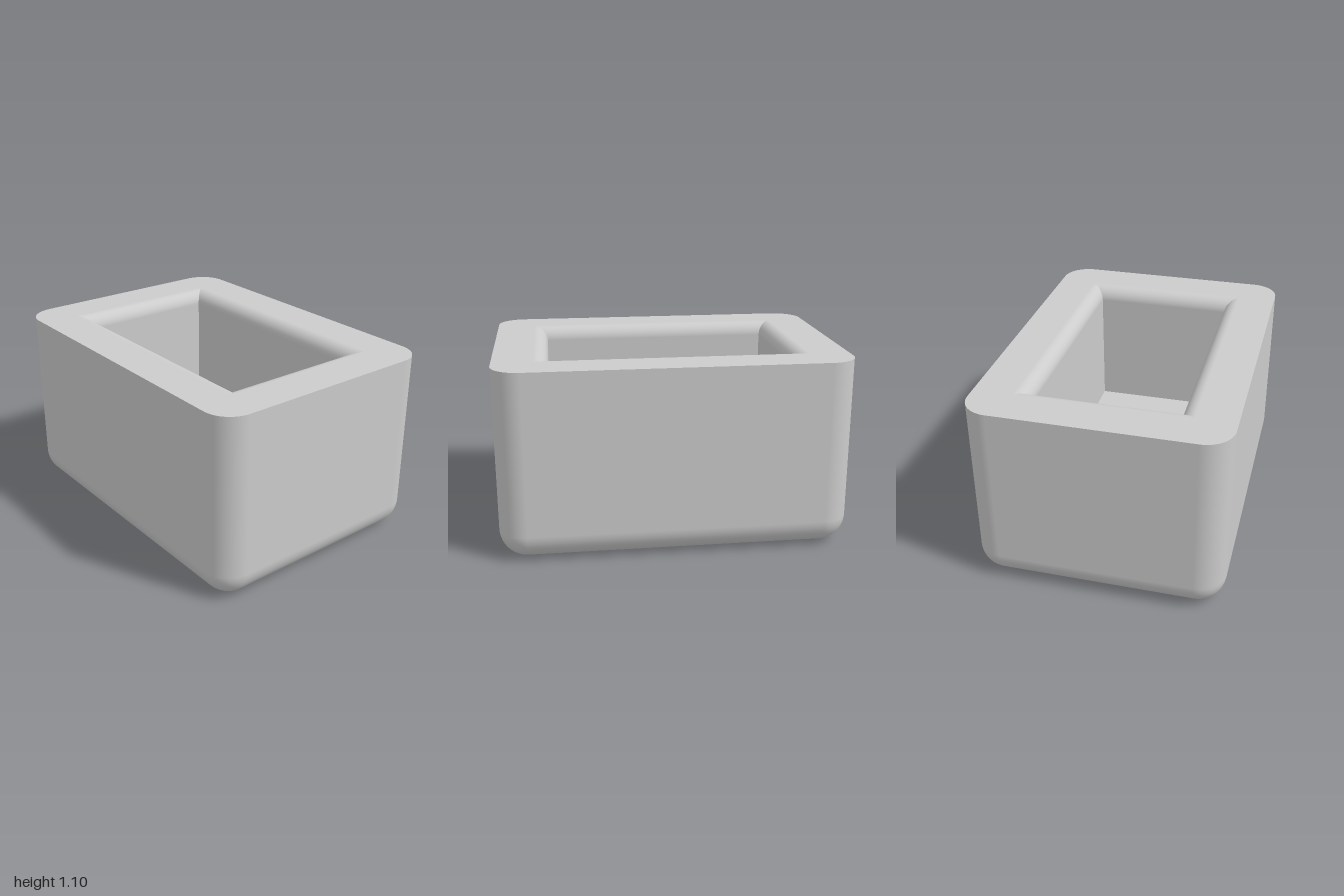
import * as THREE from 'three';

const W = 1, D = 0.717, H = 1.095;   // half width, half depth, height
const R = 0.16;                      // outer corner radius
const PW = 0.69, PD = 0.41;          // pocket half width, half depth
const FLOOR = 0.31, F = 0.08;        // pocket floor height, rim fillet radius
const SEG = 12;

// Smooth surface from a grid of points with known normals
function grid(rows, cols, at) {
  const pos = [], nor = [], idx = [];
  for (let i = 0; i < rows; i++) {
    for (let j = 0; j < cols; j++) {
      const { p, n } = at(i, j);
      pos.push(...p);
      nor.push(...n);
      if (i < rows - 1 && j < cols - 1) {
        const a = i * cols + j, b = a + cols;
        idx.push(a, b, a + 1, b, b + 1, a + 1);
      }
    }
  }
  const g = new THREE.BufferGeometry();
  g.setAttribute('position', new THREE.Float32BufferAttribute(pos, 3));
  g.setAttribute('normal', new THREE.Float32BufferAttribute(nor, 3));
  g.setIndex(idx);
  return g;
}

// Outer wall: rounded vertical corners, running into a rounded bottom edge
function outerWall() {
  const perCorner = SEG + 1, cols = 4 * perCorner + 1;
  return grid(SEG + 2, cols, (i, j) => {
    const a = -Math.PI / 2 * (1 - Math.min(i, SEG) / SEG);
    const k = Math.floor(j / perCorner) % 4;
    const t = (k + (j % perCorner) / SEG) * Math.PI / 2;
    const cx = (k === 0 || k === 3 ? 1 : -1) * (W - R);
    const cz = (k < 2 ? 1 : -1) * (D - R);
    const n = [Math.cos(a) * Math.cos(t), Math.sin(a), Math.cos(a) * Math.sin(t)];
    const y = i > SEG ? H : R + R * n[1];
    return { p: [cx + R * n[0], y, cz + R * n[2]], n };
  });
}

// One pocket wall with a filleted rim, mitred at both ends
function pocketWall(k) {
  const o = [Math.round(Math.cos(k * Math.PI / 2)), Math.round(Math.sin(k * Math.PI / 2))];
  const reach = k % 2 ? PD : PW, half = k % 2 ? PW : PD;
  return grid(SEG + 2, 2, (i, j) => {
    const a = Math.max(i - 1, 0) / SEG * Math.PI / 2;
    const d = F - F * Math.cos(a);
    const y = i === 0 ? FLOOR : H - F + F * Math.sin(a);
    const out = reach + d, side = (j ? -1 : 1) * (half + d);
    return {
      p: [o[0] * out - o[1] * side, y, o[1] * out + o[0] * side],
      n: [-o[0] * Math.cos(a), Math.sin(a), -o[1] * Math.cos(a)],
    };
  });
}

// Flat top rim: rounded rectangle with a rectangular hole
function topRim() {
  const s = new THREE.Shape();
  s.absarc(W - R, D - R, R, 0, Math.PI / 2);
  s.absarc(R - W, D - R, R, Math.PI / 2, Math.PI);
  s.absarc(R - W, R - D, R, Math.PI, Math.PI * 1.5);
  s.absarc(W - R, R - D, R, Math.PI * 1.5, Math.PI * 2);
  const x = PW + F, z = PD + F;
  s.holes.push(new THREE.Path([[-x, -z], [-x, z], [x, z], [x, -z]].map(c => new THREE.Vector2(...c))));
  return new THREE.ShapeGeometry(s, SEG).rotateX(-Math.PI / 2).translate(0, H, 0);
}

export function createModel() {
  const model = new THREE.Group();
  model.name = 'hollowBlock';
  const grey = new THREE.MeshStandardMaterial({ color: 0xcccccc });
  grey.name = 'light grey';

  const add = (name, geometry) => {
    const mesh = new THREE.Mesh(geometry, grey);
    mesh.name = name;
    model.add(mesh);
  };

  add('outerWall', outerWall());
  add('topRim', topRim());
  add('underside', new THREE.PlaneGeometry(2 * (W - R), 2 * (D - R)).rotateX(Math.PI / 2));
  for (let k = 0; k < 4; k++) add('pocketWall' + (k + 1), pocketWall(k));
  add('pocketFloor', new THREE.PlaneGeometry(2 * PW, 2 * PD).rotateX(-Math.PI / 2).translate(0, FLOOR, 0));

  return model;
}
